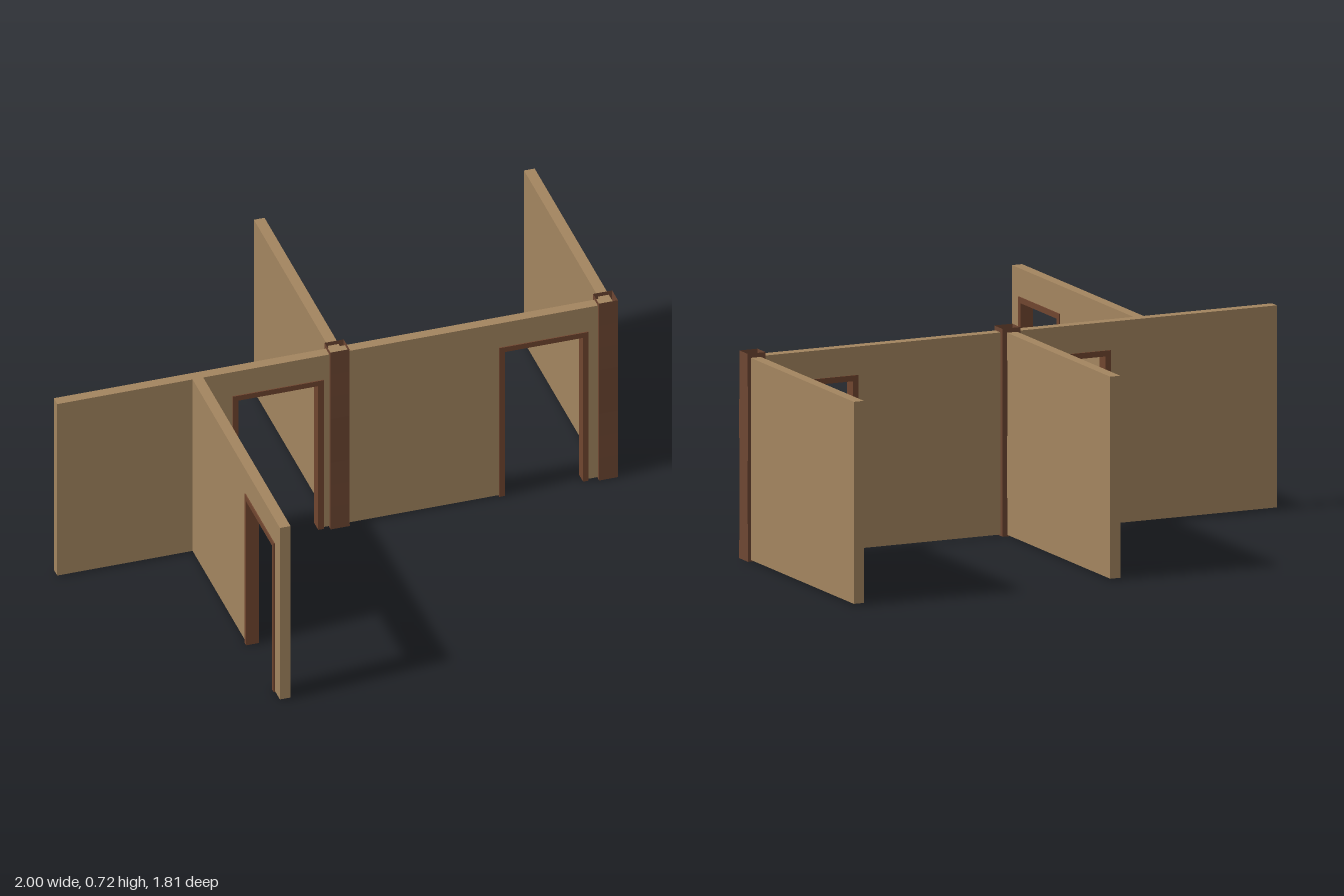
import * as THREE from 'three';

const BASE = 0.005, TOP = 0.705, THICK = 0.038;
const FRAME_TOP = 0.607, FRAME_W = 0.02, FRAME_DEPTH = 0.046;

export function createModel() {
  const model = new THREE.Group();
  model.name = 'partitionWalls';

  const wallMat = new THREE.MeshStandardMaterial({ color: 0xa3855f });
  wallMat.name = 'tan wall';
  const frameMat = new THREE.MeshStandardMaterial({ color: 0x70452f });
  frameMat.name = 'brown door frame';
  const postMat = new THREE.MeshStandardMaterial({ color: 0x6d4632, side: THREE.DoubleSide, flatShading: true });
  postMat.name = 'brown post';

  // Wall panel from u0 to u1 with doorways cut up from its foot
  function wallPanel(u0, u1, doors) {
    const s = new THREE.Shape();
    s.moveTo(u0, BASE);
    for (const [a, b] of doors) {
      s.lineTo(a + 0.01, BASE);
      s.lineTo(a + 0.01, FRAME_TOP - 0.01);
      s.lineTo(b - 0.01, FRAME_TOP - 0.01);
      s.lineTo(b - 0.01, BASE);
    }
    s.lineTo(u1, BASE);
    s.lineTo(u1, TOP);
    s.lineTo(u0, TOP);
    const g = new THREE.ExtrudeGeometry(s, { depth: THICK, bevelEnabled: false });
    g.translate(0, 0, -THICK / 2);
    return new THREE.Mesh(g, wallMat);
  }

  // Door frame: two jambs and a lintel
  function doorFrame(a, b) {
    const frame = new THREE.Group();
    frame.name = 'doorFrame';
    const add = (name, w, h, x, y) => {
      const m = new THREE.Mesh(new THREE.BoxGeometry(w, h, FRAME_DEPTH), frameMat);
      m.name = name;
      m.position.set(x, y, 0);
      frame.add(m);
    };
    const jambH = FRAME_TOP - FRAME_W;
    for (const x of [a + FRAME_W / 2, b - FRAME_W / 2]) add('doorJamb', FRAME_W, jambH, x, jambH / 2);
    add('doorLintel', b - a, FRAME_W, (a + b) / 2, FRAME_TOP - FRAME_W / 2);
    return frame;
  }

  // Wall with its frames, running along x or turned to run along z
  function wall(name, u0, u1, doors, x, z, alongZ) {
    const g = new THREE.Group();
    g.name = name;
    const panel = wallPanel(u0, u1, doors);
    panel.name = 'wallPanel';
    g.add(panel, ...doors.map(([a, b]) => doorFrame(a, b)));
    g.position.set(x, 0, z);
    if (alongZ) g.rotation.y = -Math.PI / 2;
    model.add(g);
  }

  wall('mainWall', -1, 0.985, [[-0.374, -0.05], [0.576, 0.895]], 0, -0.065, false);
  wall('frontWall', -0.046, 0.906, [[0.53, 0.85]], -0.498, 0, true);
  wall('backWallMiddle', -0.906, -0.084, [], 0.002, 0, true);
  wall('backWallLeft', -0.906, -0.084, [], 0.966, 0, true);

  // Rough-hewn hollow posts, open at both ends
  const POST_H = 0.72, HALF = 0.034;
  for (const x of [0.005, 0.963]) {
    const g = new THREE.CylinderGeometry(HALF * Math.SQRT2, HALF * Math.SQRT2, POST_H, 4, 8, true);
    g.rotateY(Math.PI / 4);
    const p = g.attributes.position;
    for (let i = 0; i < p.count; i++) {
      const k = 0.97 + 0.045 * Math.cos((p.getY(i) / POST_H + 0.5) * Math.PI * 3);
      p.setZ(i, p.getZ(i) * k);
    }
    g.computeVertexNormals();
    const post = new THREE.Mesh(g, postMat);
    post.name = 'post';
    post.position.set(x, POST_H / 2, -0.066);
    model.add(post);
  }

  return model;
}
